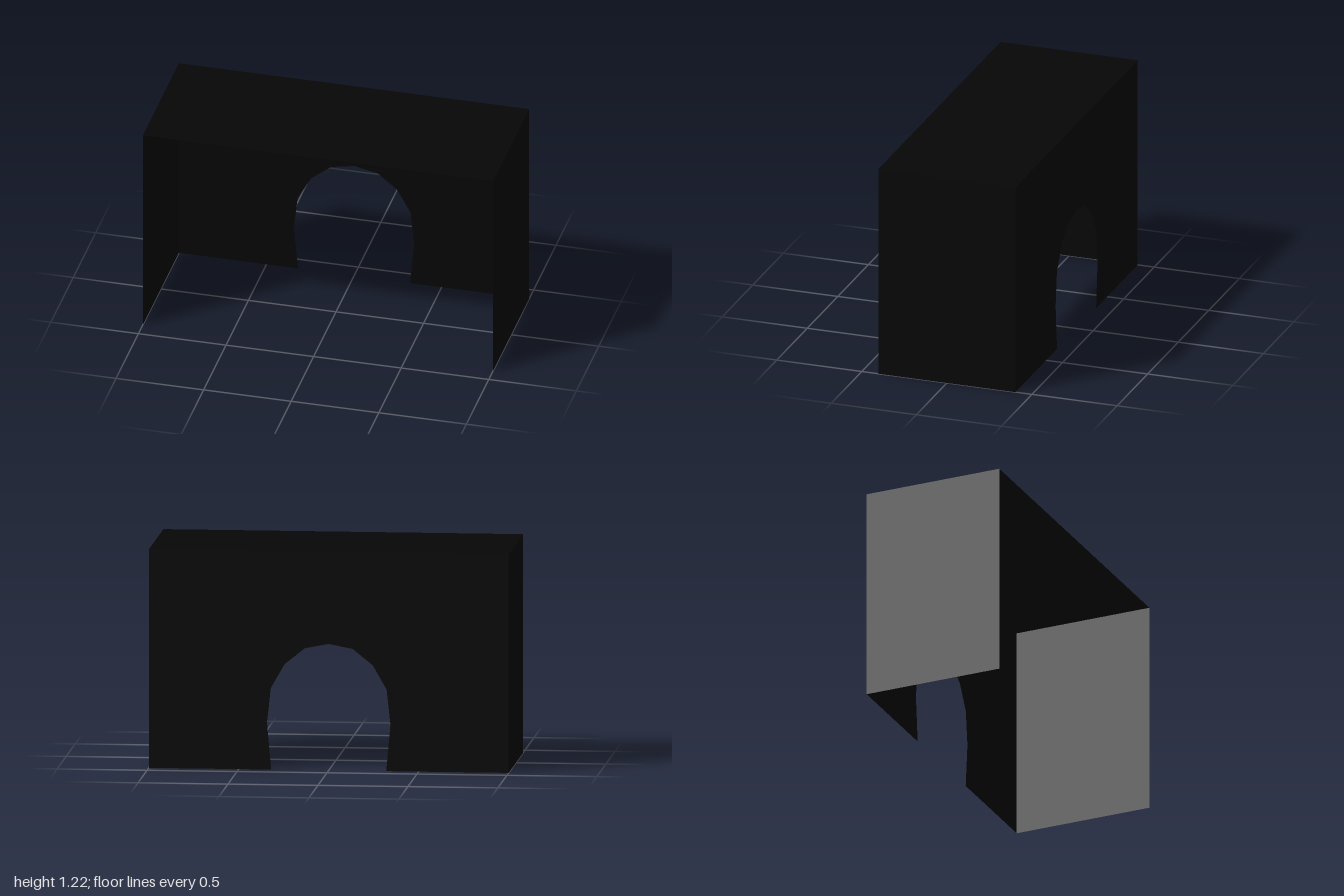
import * as THREE from 'three';

const HEIGHT = 1.22, HALF_W = 1, HALF_D = 0.403;

export function createModel() {
  const group = new THREE.Group();
  group.name = 'fireplaceSurround';

  const black = new THREE.MeshStandardMaterial({ color: 0x060606, side: THREE.DoubleSide });
  black.name = 'black';

  const add = (name, geometry, position, rotation = [0, 0, 0]) => {
    const mesh = new THREE.Mesh(geometry, black);
    mesh.name = name;
    mesh.position.set(...position);
    mesh.rotation.set(...rotation);
    group.add(mesh);
  };

  // Back wall: one outline that runs around the faceted arch opening
  const halfArch = [[0.32, 0], [0.343, 0.26], [0.322, 0.455], [0.245, 0.59], [0.133, 0.68]];
  const arch = [
    ...halfArch,
    [0, 0.706],
    ...halfArch.map(([x, y]) => [-x, y]).reverse(),
  ];
  const outline = [[-HALF_W, 0], [-HALF_W, HEIGHT], [HALF_W, HEIGHT], [HALF_W, 0], ...arch];
  const wall = new THREE.Shape(outline.map(([x, y]) => new THREE.Vector2(x, y)));
  // Turned so that its front faces outward, to the back
  add('backWall', new THREE.ShapeGeometry(wall), [0, 0, -HALF_D], [0, Math.PI, 0]);

  // Side walls, open towards the front
  for (const [name, side] of [['leftWall', 1], ['rightWall', -1]]) {
    add(name, new THREE.PlaneGeometry(2 * HALF_D, HEIGHT),
      [side * HALF_W, HEIGHT / 2, 0], [0, side * Math.PI / 2, 0]);
  }

  // Flat top
  add('top', new THREE.PlaneGeometry(2 * HALF_W, 2 * HALF_D), [0, HEIGHT, 0], [-Math.PI / 2, 0, 0]);

  return group;
}
